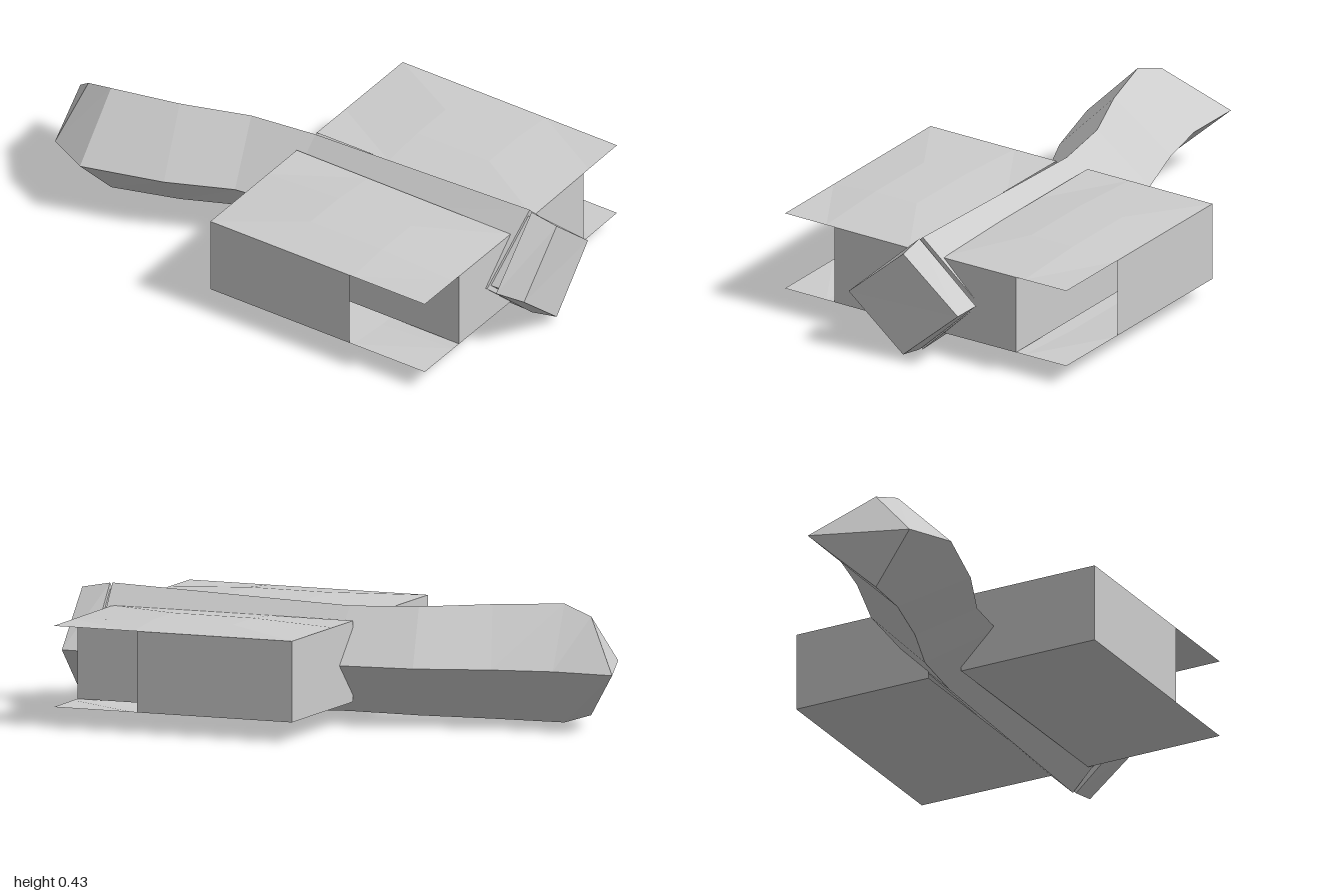
import * as THREE from 'three';

const MID = 0.215; // height of the symmetry plane
const PLATE = 0.144; // plate distance above and below it

const grey = new THREE.MeshStandardMaterial({ color: 0xcccccc, side: THREE.DoubleSide });
grey.name = 'plain grey';
grey.flatShading = true;

function makeMesh(name, triangles) {
  const geo = new THREE.BufferGeometry();
  geo.setAttribute('position', new THREE.Float32BufferAttribute(triangles.flat(2), 3));
  geo.computeVertexNormals();
  const mesh = new THREE.Mesh(geo, grey);
  mesh.name = name;
  return mesh;
}

// Diamond section: back x,z / ridge x,z / front x,z / half height
function diamond([bx, bz, rx, rz, fx, fz, h]) {
  return [[bx, MID, bz], [rx, MID + h, rz], [fx, MID, fz], [rx, MID - h, rz]];
}

// Skin a row of diamond sections and close both ends
function loft(name, sections) {
  const rings = sections.map(diamond);
  const tris = [];
  for (let i = 0; i < rings.length - 1; i++) {
    const a = rings[i], b = rings[i + 1];
    for (let k = 0; k < 4; k++) {
      const n = (k + 1) % 4;
      tris.push([a[k], a[n], b[k]], [a[n], b[n], b[k]]);
    }
  }
  const s = rings[0], e = rings[rings.length - 1];
  tris.push([s[0], s[2], s[1]], [s[0], s[3], s[2]]);
  tris.push([e[0], e[1], e[2]], [e[0], e[2], e[3]]);
  return makeMesh(name, tris);
}

const lerp = (a, b, t) => [a[0] + (b[0] - a[0]) * t, a[1] + (b[1] - a[1]) * t];

// Upright wall between two x,z points
function wall(name, p, q) {
  const at = (v, s) => [v[0], MID + s * PLATE, v[1]];
  return makeMesh(name, [[at(p, -1), at(q, -1), at(q, 1)], [at(p, -1), at(q, 1), at(p, 1)]]);
}

// Slightly domed four-sided plate; side is 1 for upper, -1 for lower
function plate(name, corners, side) {
  const [o0, o1, i1, i0] = corners;
  const N = 3, tris = [];
  const at = (i, j) => {
    const inner = i > 0 && i < N && j > 0 && j < N;
    const p = lerp(lerp(o0, o1, i / N), lerp(i0, i1, i / N), j / N);
    return [p[0], MID + side * (PLATE + (inner ? 0.016 : 0)), p[1]];
  };
  for (let i = 0; i < N; i++) {
    for (let j = 0; j < N; j++) {
      const a = at(i, j), b = at(i + 1, j), c = at(i + 1, j + 1), d = at(i, j + 1);
      tris.push([a, b, c], [a, c, d]);
    }
  }
  // keep the outward side facing away from the middle
  const [a, b, c] = tris[0];
  const ny = (b[2] - a[2]) * (c[0] - a[0]) - (b[0] - a[0]) * (c[2] - a[2]);
  if (ny * side < 0) tris.forEach((t) => t.reverse());
  return makeMesh(name, tris);
}

// Open-ended box: two plates, tail and head walls, short outer wall, long inner wall
function sideBlock(name, corners) {
  const [o0, o1, i1, i0] = corners;
  const group = new THREE.Group();
  group.name = name;
  const slotTail = lerp(o0, i0, 0.4), slotHead = lerp(o1, i1, 0.4);
  group.add(
    plate('upperPlate', corners, 1),
    plate('lowerPlate', corners, -1),
    wall('outerWall', o0, lerp(o0, o1, 0.65)),
    wall('recessedWall', slotTail, slotHead),
    wall('tailWall', o0, i0),
    wall('headWall', slotHead, i1)
  );
  return group;
}

export function createModel() {
  const model = new THREE.Group();
  model.name = 'model';

  // Curved tail running into the straight bar
  model.add(loft('bar', [
    [-1.0, -0.39, -0.893, -0.17, -0.968, -0.03, 0.175],
    [-0.78, -0.33, -0.79, -0.117, -0.834, 0.087, 0.211],
    [-0.56, -0.32, -0.535, -0.117, -0.524, 0.082, 0.203],
    [-0.285, -0.337, -0.278, -0.144, -0.273, 0.043, 0.193],
    [0.02, -0.295, -0.03, -0.117, -0.085, 0.068, 0.187],
    [0.875, -0.107, 0.848, 0.113, 0.765, 0.33, 0.215],
  ]));

  // Narrow neck between bar and end cap
  model.add(loft('neck', [
    [0.85, -0.08, 0.82, 0.11, 0.77, 0.305, 0.19],
    [0.92, -0.065, 0.88, 0.126, 0.83, 0.32, 0.19],
  ]));

  // End cap
  model.add(loft('endCap', [
    [0.893, -0.1, 0.858, 0.122, 0.805, 0.347, 0.213],
    [1.0, -0.07, 0.96, 0.147, 0.915, 0.365, 0.193],
  ]));

  // Corners: outer tail, outer head, inner head, inner tail
  model.add(sideBlock('frontBlock', [[-0.22, 0.455], [0.66, 0.69], [0.8, 0.18], [-0.08, -0.062]]));
  model.add(sideBlock('backBlock', [[0.09, -0.7], [0.97, -0.463], [0.837, 0.05], [-0.05, -0.187]]));

  return model;
}
